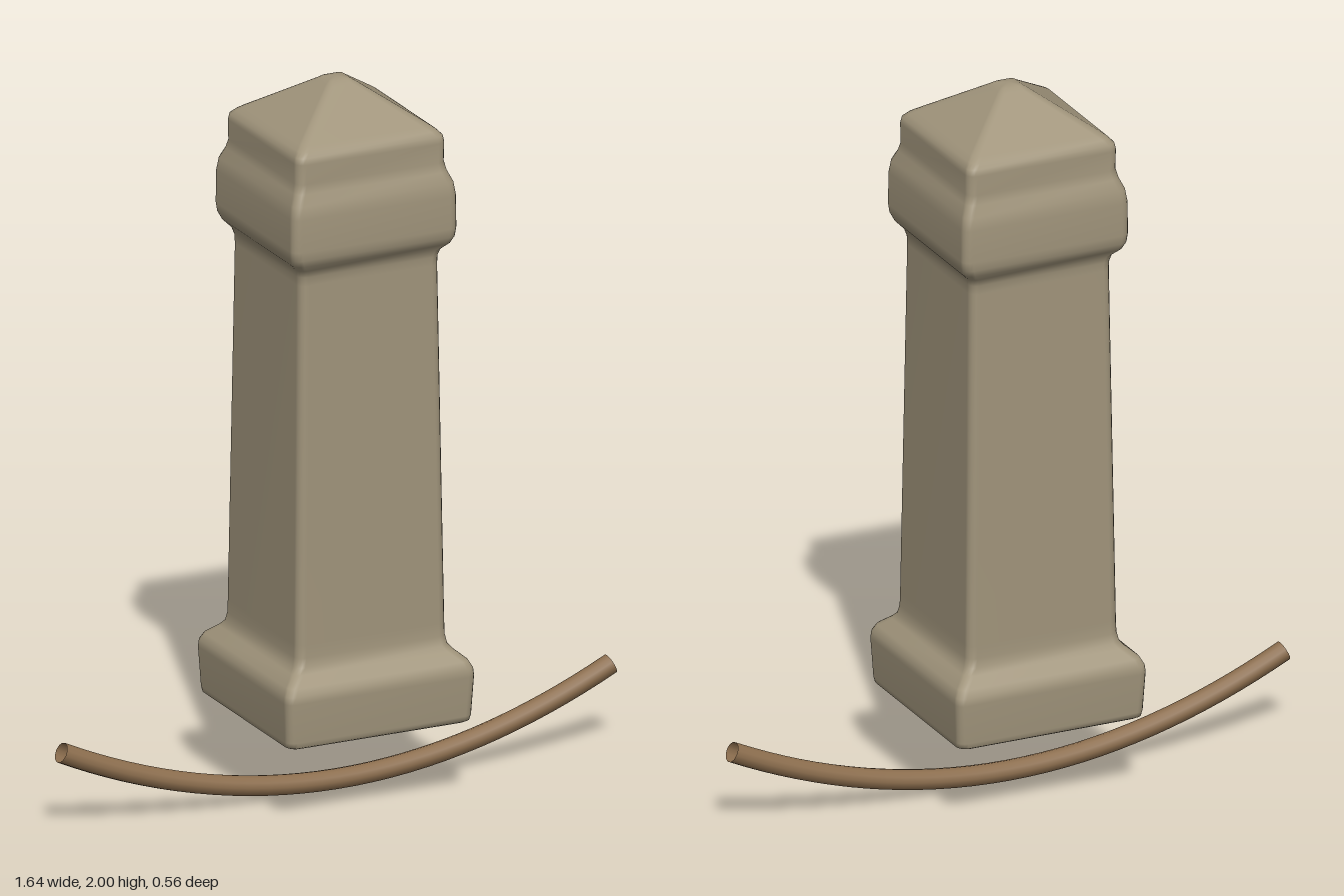
import * as THREE from 'three';

const stone = new THREE.MeshStandardMaterial({ color: 0xa0947b });
stone.name = 'weathered stone';
const rope = new THREE.MeshStandardMaterial({ color: 0x8c6e4e, side: THREE.DoubleSide });
rope.name = 'brown rope';

// Square outline with rounded corners, as [x, z] points
function roundedSquare(half, radius, steps = 4) {
  const points = [];
  for (let corner = 0; corner < 4; corner++) {
    const mid = (corner + 0.5) * Math.PI / 2;
    const cx = Math.sign(Math.cos(mid)) * (half - radius);
    const cz = Math.sign(Math.sin(mid)) * (half - radius);
    for (let s = 0; s <= steps; s++) {
      const a = (corner + s / steps) * Math.PI / 2;
      points.push([cx + radius * Math.cos(a), cz + radius * Math.sin(a)]);
    }
  }
  return points;
}

// Skin a stack of rounded squares given as [half width, height]
function loftSquare(profile) {
  const positions = [], index = [];
  let n = 0;
  for (const [half, y] of profile) {
    const ring = roundedSquare(half, Math.min(0.025, half * 0.4));
    n = ring.length;
    for (const [x, z] of ring) positions.push(x, y, z);
  }
  for (let i = 0; i < profile.length - 1; i++) {
    for (let j = 0; j < n; j++) {
      const a = i * n + j, b = i * n + (j + 1) % n;
      index.push(a, a + n, b, b, a + n, b + n);
    }
  }
  // Close the tip
  const tip = positions.length / 3, last = (profile.length - 1) * n;
  positions.push(0, profile[profile.length - 1][1] + 0.002, 0);
  for (let j = 0; j < n; j++) index.push(tip, last + (j + 1) % n, last + j);

  const geometry = new THREE.BufferGeometry();
  geometry.setAttribute('position', new THREE.Float32BufferAttribute(positions, 3));
  geometry.setIndex(index);
  geometry.computeVertexNormals();
  return geometry;
}

export function createModel() {
  const model = new THREE.Group();
  model.name = 'stonePostWithRope';

  // Post: plinth, tapered shaft, moulded collar and pyramid cap
  const profile = [
    [0.262, 0.23], [0.27, 0.235], [0.273, 0.25], [0.279, 0.36], [0.277, 0.38],
    [0.267, 0.40], [0.238, 0.425], [0.226, 0.44], [0.221, 0.465], [0.22, 0.50],
    [0.206, 1.50], [0.207, 1.525], [0.213, 1.545], [0.232, 1.565], [0.241, 1.585],
    [0.244, 1.61], [0.243, 1.70], [0.238, 1.735], [0.225, 1.765], [0.219, 1.79],
    [0.22, 1.845], [0.217, 1.862], [0.205, 1.875], [0.19, 1.886],
    [0.045, 1.985], [0.03, 1.995], [0.015, 1.998],
  ];
  const post = new THREE.Mesh(loftSquare(profile), stone);
  post.name = 'post';
  model.add(post);

  // Flat underside of the plinth
  const outline = new THREE.Shape(roundedSquare(0.262, 0.025).map(([x, z]) => new THREE.Vector2(x, z)));
  const underside = new THREE.Mesh(new THREE.ShapeGeometry(outline), stone);
  underside.name = 'plinthUnderside';
  underside.rotation.x = Math.PI / 2;
  underside.position.y = 0.23;
  model.add(underside);

  // Sagging rope, open at both ends
  const sag = new THREE.QuadraticBezierCurve3(
    new THREE.Vector3(-0.81, 0.226, 0),
    new THREE.Vector3(0, -0.17, 0),
    new THREE.Vector3(0.81, 0.226, 0),
  );
  const hangingRope = new THREE.Mesh(new THREE.TubeGeometry(sag, 32, 0.028, 12, false), rope);
  hangingRope.name = 'hangingRope';
  model.add(hangingRope);

  return model;
}
